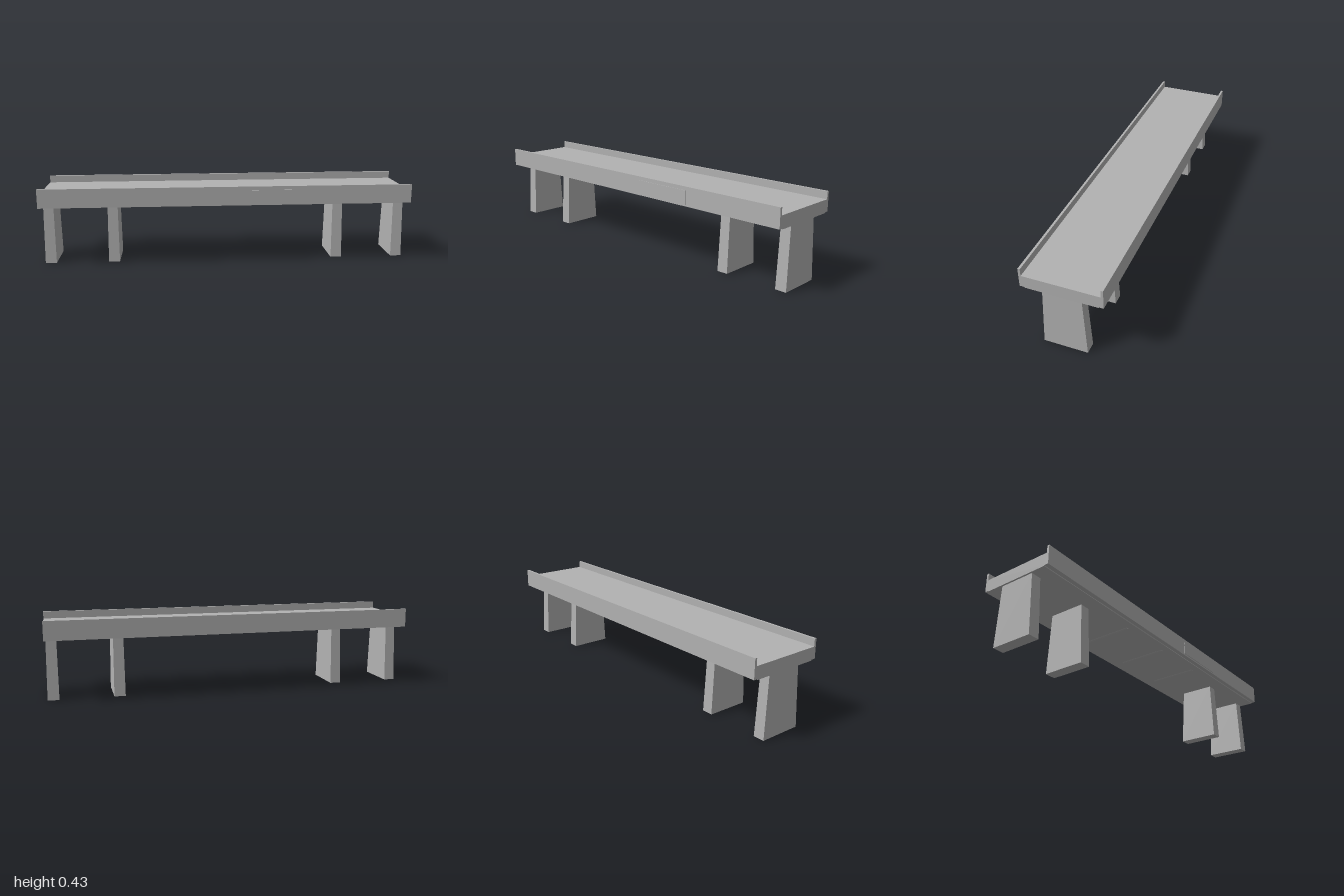
import * as THREE from 'three';

export function createModel() {
  const model = new THREE.Group();
  model.name = 'footbridge';
  const concrete = new THREE.MeshStandardMaterial({ color: 0xb2b2b2 });
  concrete.name = 'concrete grey';

  const add = (name, geometry, x, y, z) => {
    const mesh = new THREE.Mesh(geometry, concrete);
    mesh.name = name;
    mesh.position.set(x, y, z);
    model.add(mesh);
    return mesh;
  };
  // box given by its lower and upper corners
  const box = (name, [x0, y0, z0], [x1, y1, z1]) =>
    add(name, new THREE.BoxGeometry(x1 - x0, y1 - y0, z1 - z0),
      (x0 + x1) / 2, (y0 + y1) / 2, (z0 + z1) / 2);

  // deck: stepped underside and raised kerbs, one section swept along x
  const section = new THREE.Shape([
    [-0.206, 0.43], [-0.206, 0.328], [-0.182, 0.328], [-0.182, 0.324],
    [0.182, 0.324], [0.182, 0.328], [0.206, 0.328], [0.206, 0.43],
    [0.194, 0.43], [0.194, 0.391], [-0.194, 0.391], [-0.194, 0.43],
  ].map(([z, y]) => new THREE.Vector2(z, y)));
  const deck = new THREE.ExtrudeGeometry(section, { depth: 2, bevelEnabled: false });
  deck.translate(0, 0, -1).rotateY(Math.PI / 2);
  add('deck', deck, 0, 0, -0.001);

  // piers, wider at the foot
  const height = 0.326;
  for (const x of [-0.964, -0.62, 0.62, 0.964]) {
    const pier = new THREE.BoxGeometry(0.06, height, 0.226);
    const p = pier.attributes.position;
    for (let i = 0; i < p.count; i++) {
      if (p.getY(i) > 0) {
        p.setX(i, p.getX(i) * 0.9);
        p.setZ(i, p.getZ(i) * 0.86);
      }
    }
    pier.computeVertexNormals();
    add('pier', pier, x, height / 2, 0);
  }

  // shallow rounded ribs under the span
  for (const x of [-0.32, 0, 0.32]) {
    const rib = new THREE.CylinderGeometry(0.012, 0.012, 0.274, 16);
    rib.rotateX(Math.PI / 2);
    add('underside rib', rib, x, 0.332, 0);
  }

  // thin plate on the front face
  box('front plate', [0.13, 0.337, 0.204], [0.45, 0.41, 0.208]);

  return model;
}
